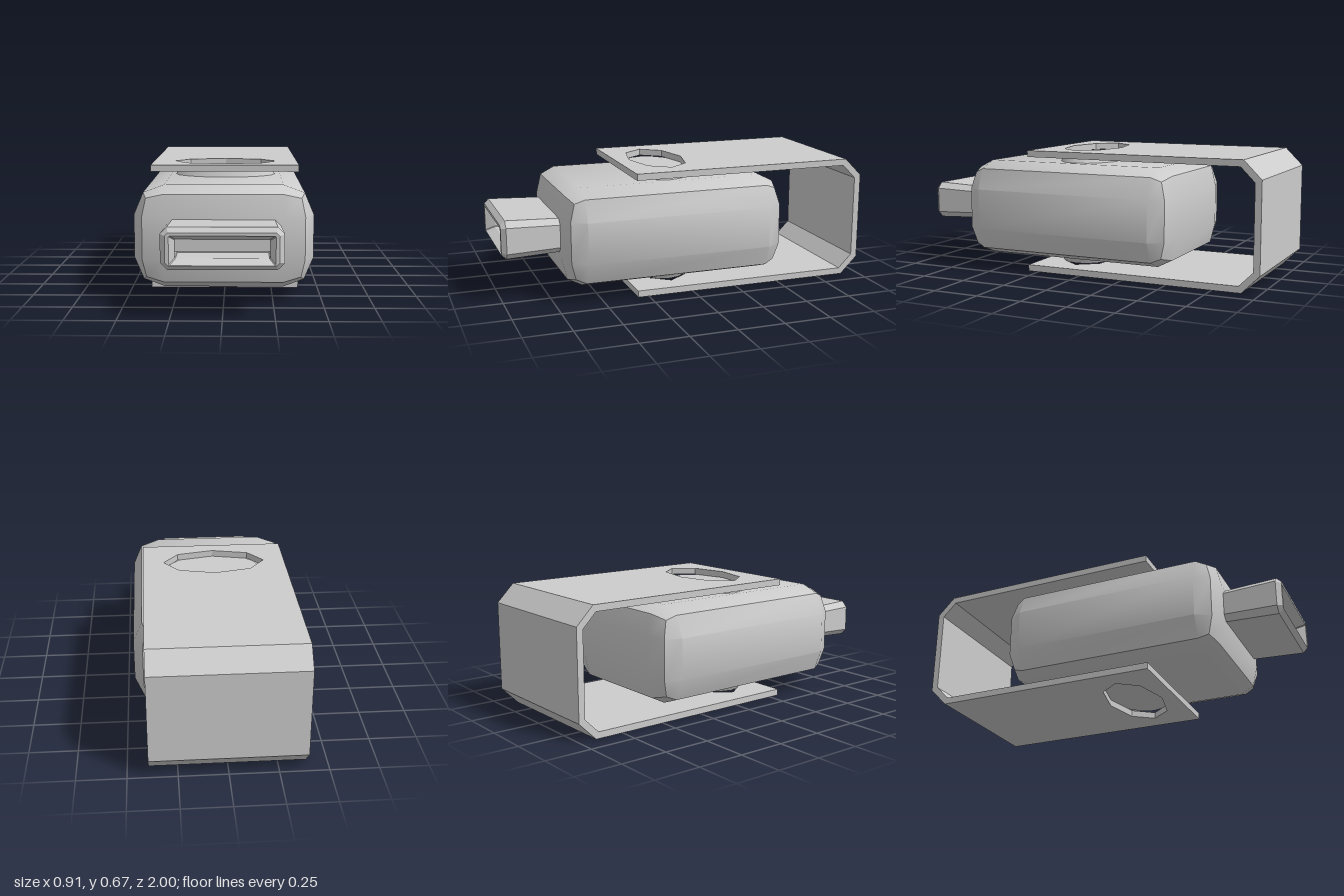
import * as THREE from 'three';
import { toCreasedNormals } from 'three/addons/utils/BufferGeometryUtils.js';

const grey = new THREE.MeshStandardMaterial({ color: 0xcccccc });
grey.name = 'grey';

function part(name, geometry) {
  const mesh = new THREE.Mesh(geometry, grey);
  mesh.name = name;
  return mesh;
}

// Joins equal-sized rings (anticlockwise seen from +z) and caps the last one.
function loft(rings) {
  const out = [];
  const n = rings[0].length;
  for (let r = 0; r < rings.length - 1; r++) {
    for (let i = 0; i < n; i++) {
      const j = (i + 1) % n;
      const a = rings[r][i], b = rings[r][j], c = rings[r + 1][j], d = rings[r + 1][i];
      out.push(...a, ...b, ...c, ...a, ...c, ...d);
    }
  }
  const last = rings[rings.length - 1];
  for (let i = 1; i < n - 1; i++) out.push(...last[0], ...last[i], ...last[i + 1]);
  const g = new THREE.BufferGeometry();
  g.setAttribute('position', new THREE.Float32BufferAttribute(out, 3));
  g.computeVertexNormals();
  return g;
}

// Rectangle with cut corners, as a ring at depth z.
function ring(hx, hy, cut, z, cy = 0.342) {
  return [
    [hx, -hy + cut], [hx, hy - cut], [hx - cut, hy], [-hx + cut, hy],
    [-hx, hy - cut], [-hx, -hy + cut], [-hx + cut, -hy], [hx - cut, -hy],
  ].map(([x, y]) => [x, y + cy, z]);
}

// Rounded casing: grid points of a box are pulled in where 2 or 3 faces meet.
function casing() {
  const size = [
    [0.3, 0.455, 0.408, 0.39],
    [0.11, 0.262, 0.222, 0.2],
    [0.505, 0.61, 0.583, 0.558],
  ];
  const g = new THREE.BoxGeometry(2, 2, 2, 3, 3, 3);
  const p = g.attributes.position;
  for (let i = 0; i < p.count; i++) {
    const v = [p.getX(i), p.getY(i), p.getZ(i)];
    const faces = v.filter((c) => Math.abs(c) > 0.9).length;
    const w = v.map((c, k) => Math.sign(c) * size[k][Math.abs(c) > 0.9 ? faces : 0]);
    p.setXYZ(i, w[0], w[1] + 0.333, w[2] + 0.085);
  }
  return toCreasedNormals(g, 0.62);
}

// Cover plate with an eight-sided window for the pivot.
function plate(topY) {
  const s = new THREE.Shape([
    [-0.395, -0.89], [0.395, -0.89], [0.395, 0.31], [-0.395, 0.31],
  ].map(([x, z]) => new THREE.Vector2(x, z)));
  const hole = [];
  for (let i = 0; i < 8; i++) {
    const a = -i * Math.PI / 4;
    hole.push(new THREE.Vector2(0.28 * Math.cos(a), 0.08 + 0.152 * Math.sin(a)));
  }
  s.holes.push(new THREE.Path(hole));
  const g = new THREE.ExtrudeGeometry(s, { depth: 0.035, bevelEnabled: false });
  return g.rotateX(Math.PI / 2).translate(0, topY, 0);
}

// Closed back of the cover with bevelled bends.
function coverBack() {
  const s = new THREE.Shape([
    [-0.89, 0], [-0.89, 0.035], [-0.965, 0.11], [-0.965, 0.555], [-0.89, 0.63],
    [-0.89, 0.665], [-0.905, 0.665], [-1, 0.57], [-1, 0.095], [-0.905, 0],
  ].map(([z, y]) => new THREE.Vector2(z, y)));
  const g = new THREE.ExtrudeGeometry(s, { depth: 0.79, bevelEnabled: false });
  return g.rotateY(-Math.PI / 2).translate(0.395, 0, 0);
}

export function createModel() {
  const model = new THREE.Group();
  model.name = 'memoryStick';
  model.add(part('casing', casing()));

  // Plug with a funnel-shaped opening
  model.add(part('plug', loft([
    ring(0.285, 0.09, 0.03, 0.68),
    ring(0.292, 0.102, 0.033, 0.975),
    ring(0.268, 0.078, 0.015, 1),
    ring(0.25, 0.07, 0.004, 1, 0.335),
    ring(0.225, 0.046, 0.004, 0.95, 0.335),
    ring(0.225, 0.046, 0.004, 0.8, 0.335),
  ])));
  model.add(part('plugTongue',
    new THREE.BoxGeometry(0.45, 0.058, 0.15).translate(0, 0.352, 0.875)));

  // Pivot bosses above and below the casing
  for (const side of [1, -1]) {
    const g = toCreasedNormals(new THREE.CylinderGeometry(
      side > 0 ? 0.255 : 0.28, side > 0 ? 0.28 : 0.255, 0.045, 16, 1), 0.6);
    g.scale(1, 1, 0.65).translate(0, 0.3325 + side * 0.273, 0.085);
    model.add(part(side > 0 ? 'upperPivot' : 'lowerPivot', g));
  }

  // Swivel cover
  const cover = new THREE.Group();
  cover.name = 'swivelCover';
  cover.add(part('upperPlate', plate(0.665)));
  cover.add(part('lowerPlate', plate(0.035)));
  cover.add(part('coverBack', coverBack()));
  model.add(cover);
  return model;
}
